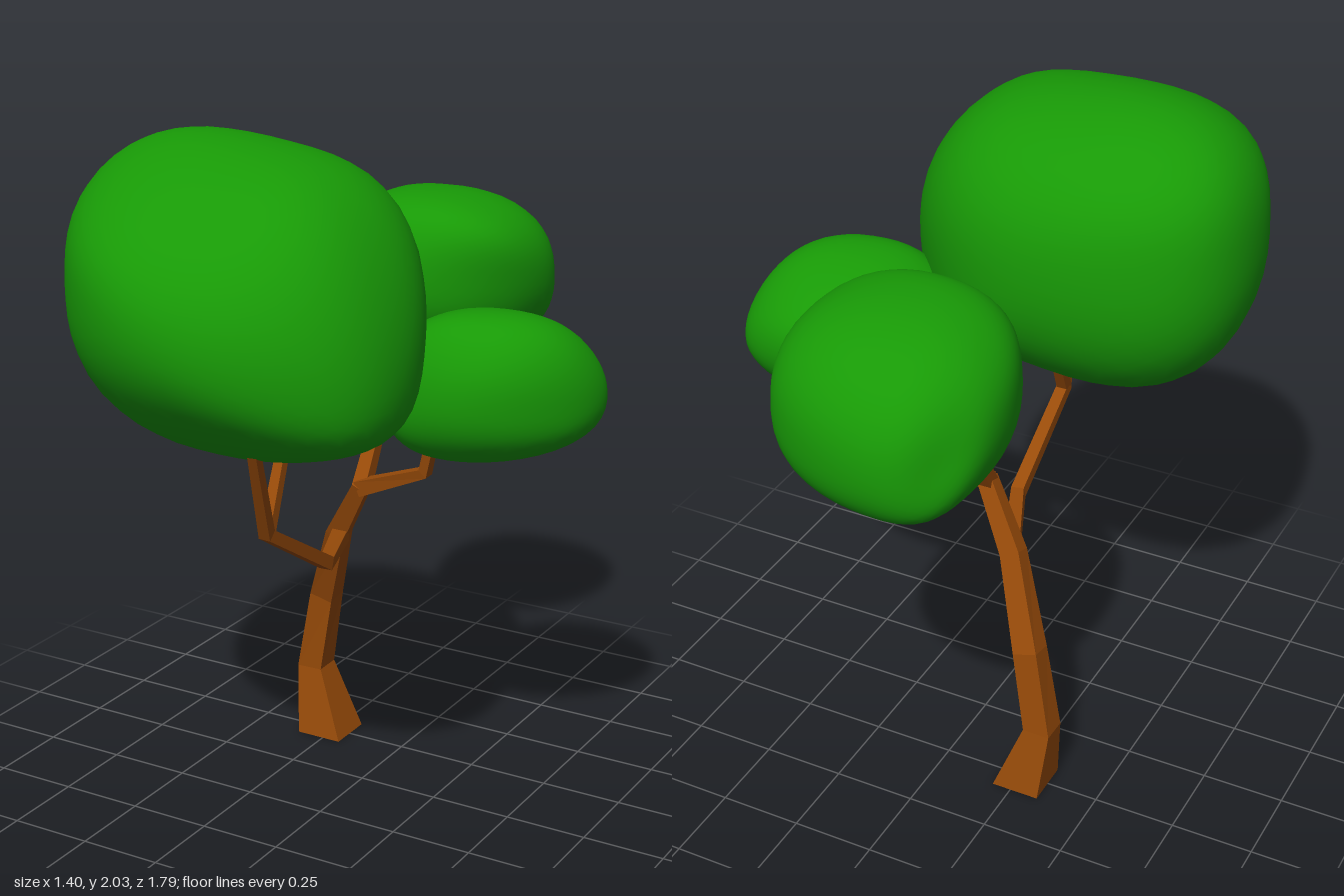
import * as THREE from 'three';
import { mergeVertices } from 'three/addons/utils/BufferGeometryUtils.js';

const bark = new THREE.MeshStandardMaterial({ color: 0x984b09, flatShading: true });
const leaf = new THREE.MeshStandardMaterial({ color: 0x189a06 });

// Square-section limb through points [x, y, z, halfWidth]; side sets the roll of the section
function limb(name, path, side) {
  const pts = path.map(p => new THREE.Vector3(p[0], p[1], p[2]));
  const pos = [], idx = [], last = pts.length - 1;
  pts.forEach((p, i) => {
    const t = new THREE.Vector3();
    if (i > 0) t.add(p.clone().sub(pts[i - 1]).normalize());
    if (i < last) t.add(pts[i + 1].clone().sub(p).normalize());
    t.normalize();
    if (p.y === 0) t.set(0, 1, 0); // flat foot
    const u = side.clone().addScaledVector(t, -side.dot(t)).normalize();
    const v = t.clone().cross(u);
    for (const [a, b] of [[1, 1], [-1, 1], [-1, -1], [1, -1]]) {
      const c = p.clone().addScaledVector(u, a * path[i][3]).addScaledVector(v, b * path[i][3]);
      pos.push(c.x, c.y, c.z);
    }
    if (i < last) for (let k = 0; k < 4; k++) {
      const a = i * 4 + k, b = i * 4 + (k + 1) % 4;
      idx.push(a, b, b + 4, a, b + 4, a + 4);
    }
  });
  const e = last * 4;
  idx.push(0, 2, 1, 0, 3, 2, e, e + 1, e + 2, e, e + 2, e + 3);
  const geo = new THREE.BufferGeometry();
  geo.setAttribute('position', new THREE.Float32BufferAttribute(pos, 3));
  geo.setIndex(idx);
  geo.computeVertexNormals();
  const mesh = new THREE.Mesh(geo, bark);
  mesh.name = name;
  return mesh;
}

// Rounded lump that touches six extreme points: lo = [-x, -y, -z], hi = [+x, +y, +z];
// bulges [x, y, z, amount] swell or flatten it towards a direction
function foliage(name, lo, hi, bulges) {
  const power = 2.25;
  let geo = new THREE.IcosahedronGeometry(1, 9);
  geo.deleteAttribute('normal');
  geo.deleteAttribute('uv');
  geo = mergeVertices(geo, 1e-4);
  const p = geo.attributes.position;
  const mid = [0, 1, 2].map(i => (lo[i][i] + hi[i][i]) / 2);
  const swells = bulges.map(([x, y, z, amount]) => ({ dir: new THREE.Vector3(x, y, z).normalize(), amount }));
  for (let n = 0; n < p.count; n++) {
    const ray = new THREE.Vector3().fromBufferAttribute(p, n);
    const d = ray.toArray();
    const len = Math.pow(d.reduce((s, c) => s + Math.pow(Math.abs(c), power), 0), 1 / power);
    const q = d.map(c => c / len);
    const out = new THREE.Vector3(...q.map((c, i) => {
      let shift = 0;
      for (let j = 0; j < 3; j++) if (j !== i) {
        const a = hi[j][i] - mid[i], b = lo[j][i] - mid[i];
        shift += q[j] * (a - b) / 2 + q[j] * q[j] * (a + b) / 2;
      }
      return mid[i] + c * (hi[i][i] - lo[i][i]) / 2 + (1 - c * c) * shift;
    }));
    for (const { dir, amount } of swells) {
      out.addScaledVector(dir, amount * Math.pow(Math.max(0, ray.dot(dir)), 6));
    }
    p.setXYZ(n, out.x, out.y, out.z);
  }
  geo.computeVertexNormals();
  const mesh = new THREE.Mesh(geo, leaf);
  mesh.name = name;
  return mesh;
}

export function createModel() {
  const tree = new THREE.Group();
  tree.name = 'tree';
  const X = new THREE.Vector3(1, 0, 0), Z = new THREE.Vector3(0, 0, 1);

  // Trunk and branches
  tree.add(
    limb('trunk', [[-0.265, 0, -0.253, 0.074], [-0.318, 0.22, -0.255, 0.042], [-0.268, 0.48, -0.24, 0.038],
      [-0.165, 0.74, -0.145, 0.031], [-0.045, 0.93, -0.08, 0.024]], X),
    limb('leftBranch', [[-0.05, 0.92, -0.083, 0.024], [0.2, 1.03, -0.02, 0.016], [0.25, 1.2, 0.01, 0.014]], Z),
    limb('backBranch', [[-0.05, 0.91, -0.08, 0.023], [-0.06, 1.19, -0.26, 0.017], [-0.06, 1.31, -0.48, 0.012]], X),
    limb('frontBranch', [[-0.16, 0.73, -0.15, 0.024], [-0.045, 0.752, 0.13, 0.02], [-0.04, 0.95, 0.46, 0.018],
      [0.025, 1.25, 0.62, 0.014]], X),
    limb('frontBranchFork', [[-0.04, 0.945, 0.46, 0.017], [-0.072, 1.28, 0.27, 0.013]], X),
  );

  // Foliage
  tree.add(
    foliage('frontFoliage',
      [[-0.7, 1.68, 0.3], [-0.1, 1.17, 0.42], [-0.2, 1.63, -0.12]],
      [[0.39, 1.43, 0.48], [-0.13, 2, 0.34], [-0.1, 1.58, 0.9]],
      [[-0.5, 0.85, 0, 0.06], [-1, -1, 0, 0.03], [0, -1, 1, -0.04], [0, 1, 1, -0.03], [-1, 0, 1, -0.04],
        [1, 0, -1, -0.03], [1, 0, 1, -0.02], [1, -1, 1, -0.05], [-1, -1, -1, 0.05], [1, 1, -1, 0.03]]),
    foliage('leftFoliage',
      [[0.1, 1.29, 0], [0.33, 1.1, -0.03], [0.42, 1.34, -0.32]],
      [[0.7, 1.3, -0.12], [0.43, 1.55, -0.01], [0.36, 1.32, 0.21]],
      [[1, 0, 1, -0.02], [1, 1, -1, -0.03], [-1, 0, -1, -0.02], [-1, -1, 0, -0.03], [0, 1, -1, -0.02]]),
    foliage('backFoliage',
      [[-0.36, 1.5, -0.64], [-0.05, 1.22, -0.67], [-0.12, 1.42, -0.9]],
      [[0.29, 1.5, -0.58], [-0.05, 1.75, -0.49], [-0.05, 1.52, -0.245]],
      [[-1, 0, -1, -0.03], [1, 0, 1, -0.03], [-1, -1, 1, 0.04], [1, 1, -1, 0.03]]),
  );
  return tree;
}
